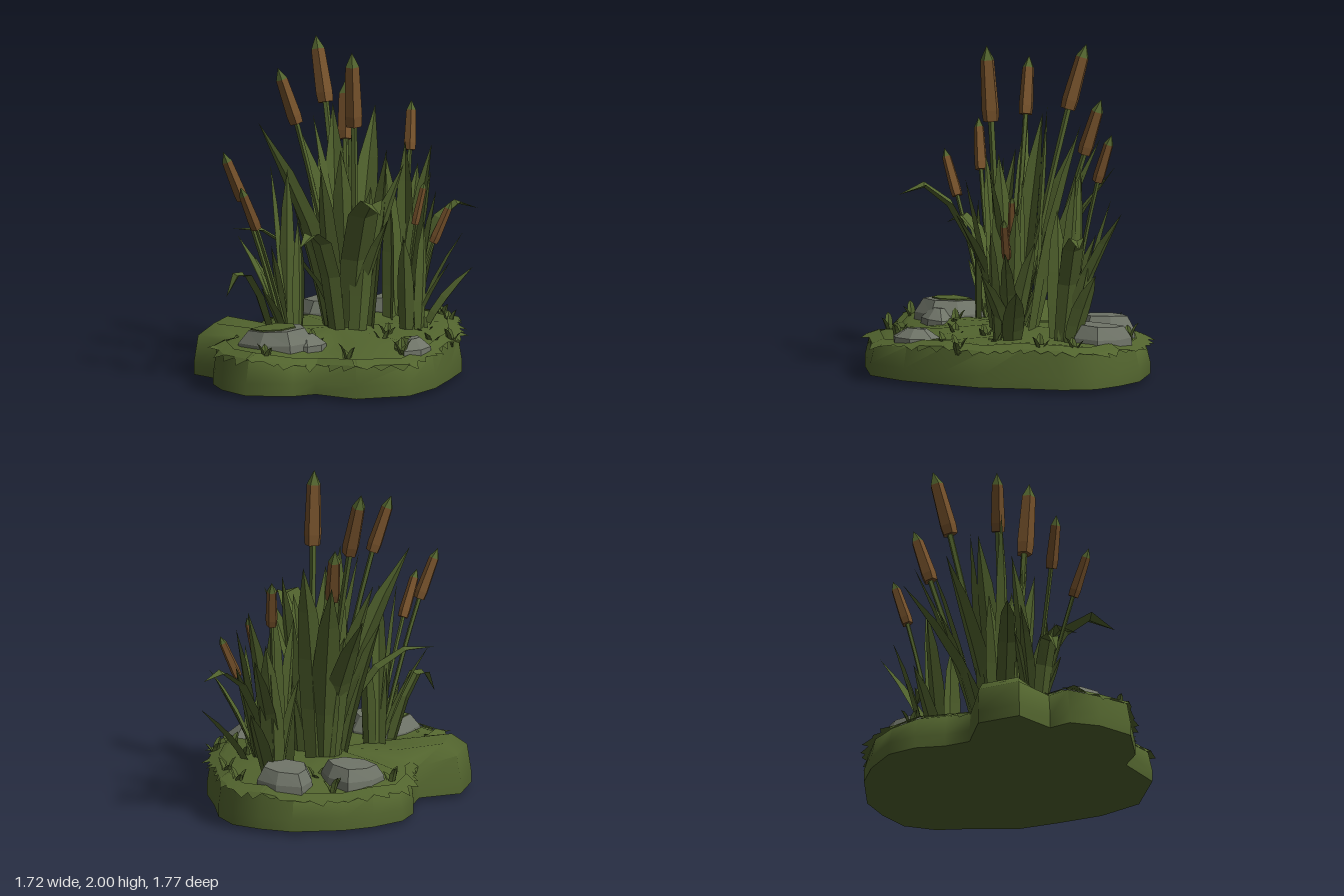
import * as THREE from 'three';
import { toCreasedNormals } from 'three/addons/utils/BufferGeometryUtils.js';

const mat = (name, color, side = THREE.FrontSide) => {
  const m = new THREE.MeshStandardMaterial({ color, side });
  m.name = name;
  return m;
};
const V = (x, y, z) => new THREE.Vector3(x, y, z);

export function createModel() {
  const root = new THREE.Group();
  root.name = 'cattailIsland';
  const ground = mat('mossGreen', 0x52642e);
  const leaf = mat('leafGreen', 0x52642e, THREE.DoubleSide);
  const brown = mat('cattailBrown', 0x75512b);
  const stone = mat('stoneGrey', 0x6e7367);

  let seed = 7;
  const rnd = () => (seed = (seed * 16807) % 2147483647) / 2147483647;

  const add = (name, geo, material, parent = root) => {
    const m = new THREE.Mesh(geo, material);
    m.name = name;
    parent.add(m);
    return m;
  };
  const group = (name) => {
    const g = new THREE.Group();
    g.name = name;
    root.add(g);
    return g;
  };
  const build = (pts, idx) => {
    const g = new THREE.BufferGeometry().setFromPoints(pts);
    g.setIndex(idx);
    return g;
  };
  const flat = (g) => {
    const f = g.index ? g.toNonIndexed() : g;
    f.computeVertexNormals();
    return f;
  };

  // Ground slab: concentric rings of one outline
  const outline = [
    [-.86, .10], [-.76, -.15], [-.50, -.21], [-.44, -.36], [-.42, -.54], [-.33, -.70],
    [-.14, -.81], [.05, -.86], [.36, -.85], [.54, -.76], [.69, -.64], [.75, -.45],
    [.74, -.20], [.75, .05], [.67, .30], [.58, .55], [.42, .78], [.10, .87],
    [-.14, .72], [-.28, .78], [-.56, .76], [-.70, .58], [-.75, .40], [-.68, .28],
  ];
  const n = outline.length;
  const rimY = (i) => .205 + .08 * outline[i][0] ** 2 + .012 * Math.sin(i * 2.3);
  const rings = [
    [1, () => .025], [1, () => .1], [.97, rimY],
    [.86, (i) => (i < 2 ? .335 : rimY(i) + .035)], [.5, (i) => .28 + .012 * Math.sin(i * 1.7)],
  ];
  const gp = [], gi = [];
  rings.forEach(([s, h]) => outline.forEach(([x, z], i) => gp.push(V(x * s, h(i), z * s))));
  gp.push(V(0, 0, 0), V(0, .3, 0));
  const last = (rings.length - 1) * n;
  for (let i = 0; i < n; i++) {
    const j = (i + 1) % n;
    for (let k = 0; k < rings.length - 1; k++) {
      const a = k * n + i, b = k * n + j;
      gi.push(a, a + n, b, b, a + n, b + n);
    }
    gi.push(i, j, gp.length - 2, last + j, last + i, gp.length - 1);
  }
  add('ground', toCreasedNormals(build(gp, gi), 1), ground);

  // Ragged turf flaps along the rim, leaving the left lobe bare
  const fp = [], fi = [];
  for (let i = 2; i < n - 1; i++) {
    const [x0, z0] = outline[i], [x1, z1] = outline[i + 1];
    const len = Math.hypot(x1 - x0, z1 - z0), count = Math.max(1, Math.round(len / .1));
    const ox = (z1 - z0) / len, oz = -(x1 - x0) / len;
    for (let k = 0; k < count; k++) {
      const at = (t, s, dy, out) => {
        const u = (k + t) / count, y = rimY(i) + (rimY(i + 1) - rimY(i)) * u;
        return V((x0 + (x1 - x0) * u) * s + ox * out, y + dy, (z0 + (z1 - z0) * u) * s + oz * out);
      };
      const o = .01 + rnd() * .05, c = fp.length;
      fp.push(at(-.15, .9, .034, 0), at(1.15, .9, .034, 0),
        at(1.1, .985, .008, 0), at(.1 + rnd() * .8, .985, -.035 + rnd() * .04, o), at(-.1, .985, .008, 0));
      fi.push(c, c + 4, c + 1, c + 1, c + 4, c + 2, c + 4, c + 3, c + 2);
    }
  }
  add('grassFringe', flat(build(fp, fi)), leaf);

  // Creased leaf blade along a bent path, twisted about its lean direction
  const blade = (parent, base, mid, tip, w, twist = 0) => {
    const path = new THREE.QuadraticBezierCurve3(V(...base), V(...mid), V(...tip));
    const dir = V(tip[0] - base[0], 0, tip[2] - base[2]).normalize();
    const across = V(dir.z, 0, -dir.x).applyAxisAngle(V(0, 1, 0), twist);
    const widths = [.8, 1, 1, .72, 0], pts = [], idx = [];
    widths.forEach((f, k) => {
      const t = k / (widths.length - 1), p = path.getPoint(t);
      const nrm = across.clone().cross(path.getTangent(t)).multiplyScalar(w * f * .2);
      const s = across.clone().multiplyScalar(w * f / 2);
      pts.push(p.clone().sub(s), p.clone().add(nrm), p.clone().add(s));
      if (k) for (let e = 0; e < 2; e++) {
        const a = (k - 1) * 3 + e;
        idx.push(a, a + 1, a + 3, a + 1, a + 4, a + 3);
      }
    });
    add('leafBlade', flat(build(pts, idx)), leaf, parent);
  };

  // Each clump: centre, spread, then blades as tip x, y, z, width and optional bend peak, twist
  const clumps = {
    mainLeaves: [.07, -.03, .12, [
      [-.47, 1.54, -.02, .14, null, 1], [-.02, 1.62, -.22, .15], [-.14, 1.56, -.17, .14], [.24, 1.56, -.47, .16],
      [-.2, 1.4, -.36, .16], [.08, 1.45, -.56, .17], [-.1, 1.25, -.62, .16], [.3, 1.38, .02, .14, null, .8],
      [.02, 1.4, .12, .15], [-.1, 1.3, .17, .14], [.4, 1.3, .06, .13, null, -.7], [.2, 1.2, .24, .14],
      [-.63, .9, .02, .11, [-.25, 1.0, .02]], [-.28, 1.1, -.1, .12, null, .8], [.3, 1.0, .28, .13], [-.02, 1.1, -.4, .16],
      [.25, 1.1, .64, .19, [.14, 1.42, .34], 0], [-.23, .86, .43, .13, [-.08, 1.15, .2]],
      [.06, 1.2, -.08, .14],
    ]],
    backLeaves: [.39, -.38, .09, [
      [.58, 1.08, -.78, .12], [.42, 1.33, -.5, .12], [.58, 1.31, -.5, .11], [.5, 1.15, -.7, .13],
      [.3, 1.26, -.49, .13], [.46, .95, -.64, .13], [.28, .9, -.57, .11], [.58, .7, -.62, .13],
      [.86, .9, -.57, .13, [.6, 1.15, -.5], 0], [.32, 1.05, -.34, .12],
    ]],
    rightLeaves: [.44, -.08, .09, [
      [.76, .85, -.1, .1], [.82, .62, -.18, .13], [.6, 1.1, -.14, .1], [.52, .95, .03, .1],
      [.68, .7, .06, .1], [.4, .85, .08, .1], [.62, .9, -.26, .11],
    ]],
    leftLeaves: [-.3, .17, .09, [
      [-.4, 1.3, .04, .09, null, .5], [-.3, 1.28, .1, .09], [-.6, .88, .1, .09], [-.67, .54, .32, .11, [-.56, .95, .27]],
      [-.5, .75, .06, .08], [-.24, 1.0, .24, .08], [-.46, .6, .34, .08], [-.22, .85, .07, .09], [-.4, .85, .3, .07],
    ]],
  };
  for (const [name, [cx, cz, spread, list]] of Object.entries(clumps)) {
    const g = group(name);
    list.forEach(([x, y, z, w, peak, twist = (rnd() - .5) * .7], k) => {
      const a = Math.atan2(z - cz, x - cx), r = spread * (k % 2 ? 1 : .25);
      const base = [cx + Math.cos(a) * r, .26, cz + Math.sin(a) * r];
      const mid = peak || [base[0] + (x - base[0]) * .3, .26 + (y - .26) * .55, base[2] + (z - base[2]) * .3];
      blade(g, base, mid, [x, y, z], w, twist);
    });
  }

  // Cattails: stem foot x z, head bottom, head top, radius
  const cattails = [
    [.05, -.06, [-.06, 1.6, -.34], [-.105, 1.91, -.42], .053],
    [.1, .04, [.1, 1.54, .1], [.09, 1.91, .125], .055],
    [.02, .0, [-.24, 1.53, -.05], [-.33, 1.8, -.05], .046],
    [.09, -.12, [.06, 1.35, -.46], [.06, 1.61, -.54], .048],
    [.38, -.42, [.45, 1.25, -.61], [.46, 1.48, -.68], .038],
    [-.32, .16, [-.57, 1.13, .28], [-.665, 1.37, .31], .04],
    [-.3, .2, [-.49, .98, .41], [-.57, 1.2, .49], .036],
    [.42, -.07, [.47, .9, -.09], [.52, 1.12, -.1], .025],
    [.44, -.05, [.58, .79, -.08], [.67, 1.0, -.08], .03],
  ];
  const up = V(0, 1, 0);
  for (const [bx, bz, lo, hi, r] of cattails) {
    const g = group('cattail'), a = V(...lo), b = V(...hi);
    const axis = b.clone().sub(a), len = axis.length();
    axis.normalize();
    const foot = V(bx, .26, bz), bend = a.clone().addScaledVector(axis, -(a.y - .26) * .5);
    bend.lerp(foot.clone().lerp(a, .5), .5);
    add('stem', flat(new THREE.TubeGeometry(new THREE.QuadraticBezierCurve3(foot, bend, a), 5, r * .36, 5)), leaf, g);
    const head = new THREE.Group();
    head.name = 'seedHead';
    head.position.copy(a);
    head.quaternion.setFromUnitVectors(up, axis);
    g.add(head);
    const profile = [[0, 0], [.9, 0], [1, len * .18], [.8, len]].map(([x, y]) => new THREE.Vector2(x * r, y));
    add('spike', flat(new THREE.LatheGeometry(profile, 5)), brown, head);
    add('tip', flat(new THREE.ConeGeometry(r * .8, r * 1.6, 5)), leaf, head).position.y = len + r * .8;
  }

  // Rocks: x, z, radius x, radius z, top height, plateau size, turn, moss
  const rocks = [
    [-.36, .44, .23, .21, .375, .72, .3, 'patch'], [-.2, .47, .13, .11, .345, .35, 1],
    [.44, .49, .12, .16, .325, .4, .5, 'coat'], [-.04, -.57, .19, .18, .36, .74, .2],
    [.36, -.6, .18, .19, .365, .74, .8],
  ];
  for (const [x, z, rx, rz, top, plateau, turn, moss] of rocks) {
    const g = group('rock'), h = top - .2;
    g.position.set(x, .2, z);
    // Uneven outline and slightly tilted top
    const weather = (geo) => {
      const p = geo.attributes.position;
      for (let i = 0; i < p.count; i++) {
        const px = p.getX(i), pz = p.getZ(i);
        const k = 1 + .1 * Math.sin(Math.atan2(pz, px) * 3 + x * 20);
        const tilt = 1 + .1 * (px * Math.cos(turn) + pz * Math.sin(turn));
        p.setXYZ(i, px * rx * k, p.getY(i) * tilt, pz * rz * k);
      }
      return flat(geo);
    };
    const prof = [[1, 0], [.96, h * .55], [plateau, h], [0, h]].map((p) => new THREE.Vector2(...p));
    add('stone', weather(new THREE.LatheGeometry(prof, 7, turn)), stone, g);
    if (moss === 'patch') {
      const r = plateau * .8;
      const patch = new THREE.CylinderGeometry(r, r, .008, 7, 1, false, turn).translate(-.1, h + .003, -.06);
      add('mossPatch', weather(patch), ground, g);
    } else if (moss === 'coat') {
      // Moss over the two left-hand facets
      const facet = Math.PI * 2 / 7, shell = prof.map((p) => new THREE.Vector2(p.x * 1.03, p.y + .004));
      add('mossCoat', weather(new THREE.LatheGeometry(shell, 2, turn + facet * 4, facet * 2)), ground, g);
    }
  }

  // Small grass tufts
  const tufts = [[-.28, -.57], [.1, -.74], [.27, .29], [.05, .73], [.52, 0], [.68, .2], [-.44, .68],
    [-.14, .36], [.56, .3], [.16, -.5], [-.6, .3], [.38, .62], [.64, -.5], [.3, .1], [.68, -.3]];
  for (const [x, z] of tufts) {
    const g = group('grassTuft');
    for (let k = 0; k < 3; k++) {
      const a = k * 2.1 + rnd(), c = Math.cos(a), s = Math.sin(a), h = .27 + rnd() * .06;
      blade(g, [x, .21, z], [x + c * .02, h, z + s * .02], [x + c * .06, h + .02, z + s * .06], .045);
    }
  }
  return root;
}
